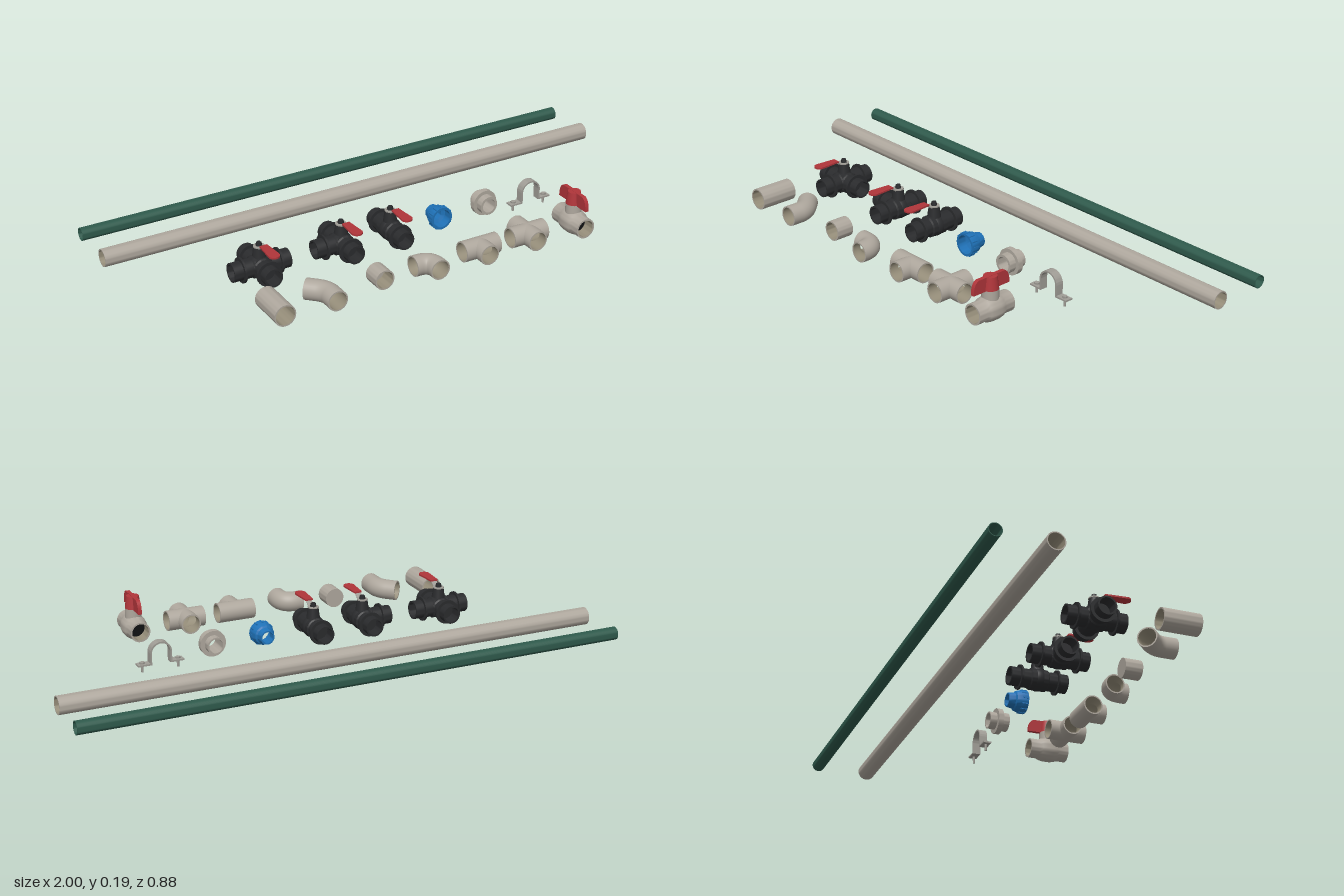
import * as THREE from 'three';
import { toCreasedNormals } from 'three/addons/utils/BufferGeometryUtils.js';

const mat = (name, color, side = THREE.FrontSide) =>
  Object.assign(new THREE.MeshStandardMaterial({ color, side }), { name });
const Y = 0.068; // height of every pipe axis

export function createModel() {
  const pvc = mat('warmGreyPlastic', 0xaea79d);
  const bore = mat('pipeBore', 0x968e7a, THREE.DoubleSide);
  const green = mat('greenPipe', 0x2f5a4c);
  const black = mat('blackPlastic', 0x2a2b2d);
  const dark = mat('darkHollow', 0x101112, THREE.DoubleSide);
  const red = mat('redHandle', 0xb0353a);
  const blue = mat('bluePlastic', 0x1f72b8);
  const steel = mat('steel', 0xa09d96);

  const model = new THREE.Group();
  model.name = 'pipeFittingSet';

  const group = (name, x, z, y = Y) => {
    const g = new THREE.Group();
    g.name = name;
    g.position.set(x, y, z);
    model.add(g);
    return g;
  };
  const add = (parent, name, geo, material, x = 0, y = 0, z = 0) => {
    const m = new THREE.Mesh(geo, material);
    m.name = name;
    m.position.set(x, y, z);
    parent.add(m);
    return m;
  };
  // Turned part along local z; points are [radius, z]
  const turned = (parent, name, pts, material, angle = 0, segs = 36) => {
    const geo = new THREE.LatheGeometry(pts.map(p => new THREE.Vector2(p[0], p[1])), segs);
    geo.rotateX(Math.PI / 2).rotateY(angle);
    return add(parent, name, toCreasedNormals(geo, 0.6), material);
  };
  // Hollow straight tube with a separately coloured bore
  const tube = (parent, name, z0, z1, r, ri, material, inner, angle = 0) => {
    turned(parent, name, [[ri, z0], [r, z0], [r, z1], [ri, z1]], material, angle);
    turned(parent, name + 'Bore', [[ri, z1], [ri, z0]], inner, angle);
  };

  // Long pipes
  const pipe = (name, z, r, ri, material, inner) => {
    const g = group(name, 0, z);
    tube(g, name + 'Wall', -1, 1, r, ri, material, inner, Math.PI / 2);
    add(g, 'bore stop', new THREE.CircleGeometry(ri, 32).rotateY(Math.PI / 2), dark);
  };
  pipe('greyPipe', -0.222, 0.032, 0.028, pvc, bore);
  pipe('greenPipe', -0.418, 0.0235, 0.021, green, green.clone());
  model.getObjectByName('greenPipeWallBore').material = green;

  // Straight coupler and end cap
  tube(group('coupler', -0.64, 0.36), 'couplerWall', -0.07, 0.07, 0.039, 0.034, pvc, bore);
  const cap = group('endCap', -0.25, 0.362);
  tube(cap, 'capWall', -0.033, 0.033, 0.036, 0.031, pvc, bore);
  turned(cap, 'capEnd', [[0, -0.033], [0.032, -0.033], [0.032, -0.027], [0, -0.027]], pvc);

  // Elbows: straight ends joined by a bend
  const elbow = (name, a, b, c, d, corner, r) => {
    const g = group(name, 0, 0);
    const v = p => new THREE.Vector3(p[0], 0, p[1]);
    const path = new THREE.CurvePath();
    path.add(new THREE.LineCurve3(v(a), v(b)));
    path.add(new THREE.QuadraticBezierCurve3(v(b), v(corner), v(c)));
    path.add(new THREE.LineCurve3(v(c), v(d)));
    add(g, name + 'Outer', new THREE.TubeGeometry(path, 32, r, 32), pvc);
    add(g, name + 'Bore', new THREE.TubeGeometry(path, 32, r - 0.005, 32), bore);
    [[a, b], [d, c]].forEach(([end, next]) => {
      const rim = add(g, name + 'Rim', new THREE.RingGeometry(r - 0.005, r, 32), pvc, end[0], 0, end[1]);
      rim.rotation.y = Math.atan2(end[0] - next[0], end[1] - next[1]);
    });
  };
  elbow('elbow45', [-0.45, 0.435], [-0.45, 0.39], [-0.474, 0.337], [-0.502, 0.309], [-0.45, 0.361], 0.037);
  elbow('elbow90', [-0.122, 0.362], [-0.105, 0.362], [-0.055, 0.412], [-0.055, 0.43], [-0.055, 0.362], 0.037);

  // Mitred arm: its inner end follows the neighbouring arms
  const arm = (parent, angle, len, cut) => {
    const r = 0.037, ri = 0.032;
    [[r, pvc, 'armOuter'], [ri, bore, 'armBore']].forEach(([rad, material, name]) => {
      const geo = new THREE.CylinderGeometry(rad, rad, 1, 32, 1, true).rotateX(Math.PI / 2);
      const p = geo.attributes.position;
      for (let i = 0; i < p.count; i++) p.setZ(i, p.getZ(i) > 0 ? len : cut(p.getX(i)));
      add(parent, name, geo.rotateY(angle), material);
    });
    add(parent, 'armRim', new THREE.RingGeometry(ri, r, 32).translate(0, 0, len).rotateY(angle), pvc);
  };
  const tee = group('tee', 0.143, 0.362);
  arm(tee, 0, 0.068, Math.abs);
  arm(tee, Math.PI / 2, 0.07, x => Math.max(-x, 0));
  arm(tee, -Math.PI / 2, 0.07, x => Math.max(x, 0));
  const cross = group('cross', 0.34, 0.362);
  for (let i = 0; i < 4; i++) arm(cross, i * Math.PI / 2, 0.07, Math.abs);

  // Ball valve with winged handle
  const ball = group('ballValve', 0.535, 0.365);
  turned(ball, 'valveBody', [[0.031, -0.076], [0.037, -0.076], [0.037, -0.04], [0.042, -0.03], [0.045, -0.012],
    [0.045, 0.012], [0.042, 0.03], [0.037, 0.04], [0.037, 0.076], [0.031, 0.076]], pvc);
  turned(ball, 'valveBore', [[0.031, 0.076], [0.031, -0.076]], bore);
  for (const z of [-0.03, 0.03]) add(ball, 'valveBall', new THREE.CircleGeometry(0.031, 32), dark, 0, 0, z);
  add(ball, 'valveNeck', new THREE.CylinderGeometry(0.029, 0.029, 0.04, 32), pvc, 0, 0.05, 0);
  add(ball, 'handleHub', new THREE.CylinderGeometry(0.023, 0.029, 0.046, 32), red, 0, 0.093, 0);
  const wing = new THREE.Shape();
  wing.moveTo(-0.078, 0.068);
  wing.lineTo(0.078, 0.068);
  wing.quadraticCurveTo(0.077, 0.112, 0.055, 0.117);
  wing.lineTo(-0.055, 0.117);
  wing.quadraticCurveTo(-0.077, 0.112, -0.078, 0.068);
  add(ball, 'handleWings', new THREE.ExtrudeGeometry(wing, { depth: 0.014, bevelEnabled: false })
    .translate(0, 0, -0.007).rotateY(Math.PI / 2), red);

  // Lever valves with two, three or four ports
  const leverValve = (name, x, ports) => {
    const g = group(name, x, 0.092);
    add(g, 'valveCore', new THREE.SphereGeometry(0.041, 32, 20), black);
    ports.forEach(a => turned(g, 'port', [[0.039, 0], [0.039, 0.03], [0.034, 0.034], [0.034, 0.066],
      [0.045, 0.066], [0.045, 0.073], [0.034, 0.073], [0.034, 0.107], [0.028, 0.107], [0.028, 0.06], [0, 0.06]], black, a));
    add(g, 'stemHousing', new THREE.CylinderGeometry(0.019, 0.025, 0.04, 24), black, 0, 0.052, 0);
    add(g, 'leverDisc', new THREE.CylinderGeometry(0.02, 0.02, 0.004, 24), steel, 0, 0.074, 0);
    add(g, 'stemNut', new THREE.CylinderGeometry(0.009, 0.012, 0.014, 6), black, 0, 0.082, 0);
    // Cranked lever strip
    const strip = new THREE.Shape();
    [[0, 0.072], [0.022, 0.072], [0.042, 0.088], [0.12, 0.088], [0.12, 0.091], [0.041, 0.091], [0.021, 0.075], [0, 0.075]]
      .forEach(([z, y], i) => (i ? strip.lineTo(z, y) : strip.moveTo(z, y)));
    add(g, 'lever', new THREE.ExtrudeGeometry(strip, { depth: 0.022, bevelEnabled: false })
      .translate(0, 0, -0.011).rotateY(-Math.PI / 2), steel);
    const grip = new THREE.Shape();
    grip.moveTo(-0.014, -0.034);
    grip.lineTo(-0.02, -0.112);
    grip.absarc(0, -0.112, 0.02, Math.PI, 2 * Math.PI, false);
    grip.lineTo(0.014, -0.034);
    add(g, 'grip', new THREE.ExtrudeGeometry(grip, { depth: 0.006, bevelEnabled: false })
      .rotateX(-Math.PI / 2).translate(0, 0.0865, 0), red);
  };
  const [back, left, right] = [Math.PI, Math.PI / 2, -Math.PI / 2];
  leverValve('fourPortValve', -0.562, [0, back, left, right]);
  leverValve('threePortValve', -0.248, [0, back, right]);
  leverValve('twoPortValve', -0.052, [0, back]);

  // Blue bushing
  const bush = group('blueBushing', 0.143, 0.088);
  turned(bush, 'bushingBody', [[0.021, -0.036], [0.026, -0.036], [0.03, -0.012], [0.036, -0.008], [0.042, 0.012],
    [0.042, 0.034], [0.034, 0.034], [0.034, 0], [0.021, -0.006], [0.021, -0.036]], blue);
  for (let i = 0; i < 12; i++) {
    const a = i * Math.PI / 6;
    add(bush, 'gripRib', new THREE.BoxGeometry(0.005, 0.005, 0.024), blue, 0.041 * Math.cos(a), 0.041 * Math.sin(a), 0.021);
  }

  // Threaded adapter with a wide collar
  turned(group('adapter', 0.34, 0.088), 'adapterBody', [[0.026, -0.037], [0.032, -0.037], [0.032, -0.01], [0.048, -0.01],
    [0.048, 0.01], [0.035, 0.01], [0.035, 0.037], [0.026, 0.037], [0.026, -0.037]], pvc);

  // Saddle clamp: arched strap, feet and screws
  const clamp = group('pipeClamp', 0.535, 0.09, 0);
  const strap = new THREE.Shape();
  strap.moveTo(-0.085, 0.026);
  strap.lineTo(-0.034, 0.026);
  strap.lineTo(-0.034, Y);
  strap.absarc(0, Y, 0.034, Math.PI, 0, true);
  strap.lineTo(0.034, 0.026);
  strap.lineTo(0.085, 0.026);
  strap.lineTo(0.085, 0.032);
  strap.lineTo(0.04, 0.032);
  strap.lineTo(0.04, Y);
  strap.absarc(0, Y, 0.04, 0, Math.PI, false);
  strap.lineTo(-0.04, 0.032);
  strap.lineTo(-0.085, 0.032);
  add(clamp, 'strap', toCreasedNormals(new THREE.ExtrudeGeometry(strap,
    { depth: 0.03, bevelEnabled: false, curveSegments: 20 }).translate(0, 0, -0.015), 0.5), steel);
  for (const x of [-0.066, 0.066]) {
    add(clamp, 'screwShank', new THREE.CylinderGeometry(0.005, 0.004, 0.03, 12), steel, x, 0.015, 0);
    add(clamp, 'screwHead', new THREE.CylinderGeometry(0.009, 0.009, 0.007, 6), steel, x, 0.035, 0);
  }
  return model;
}
